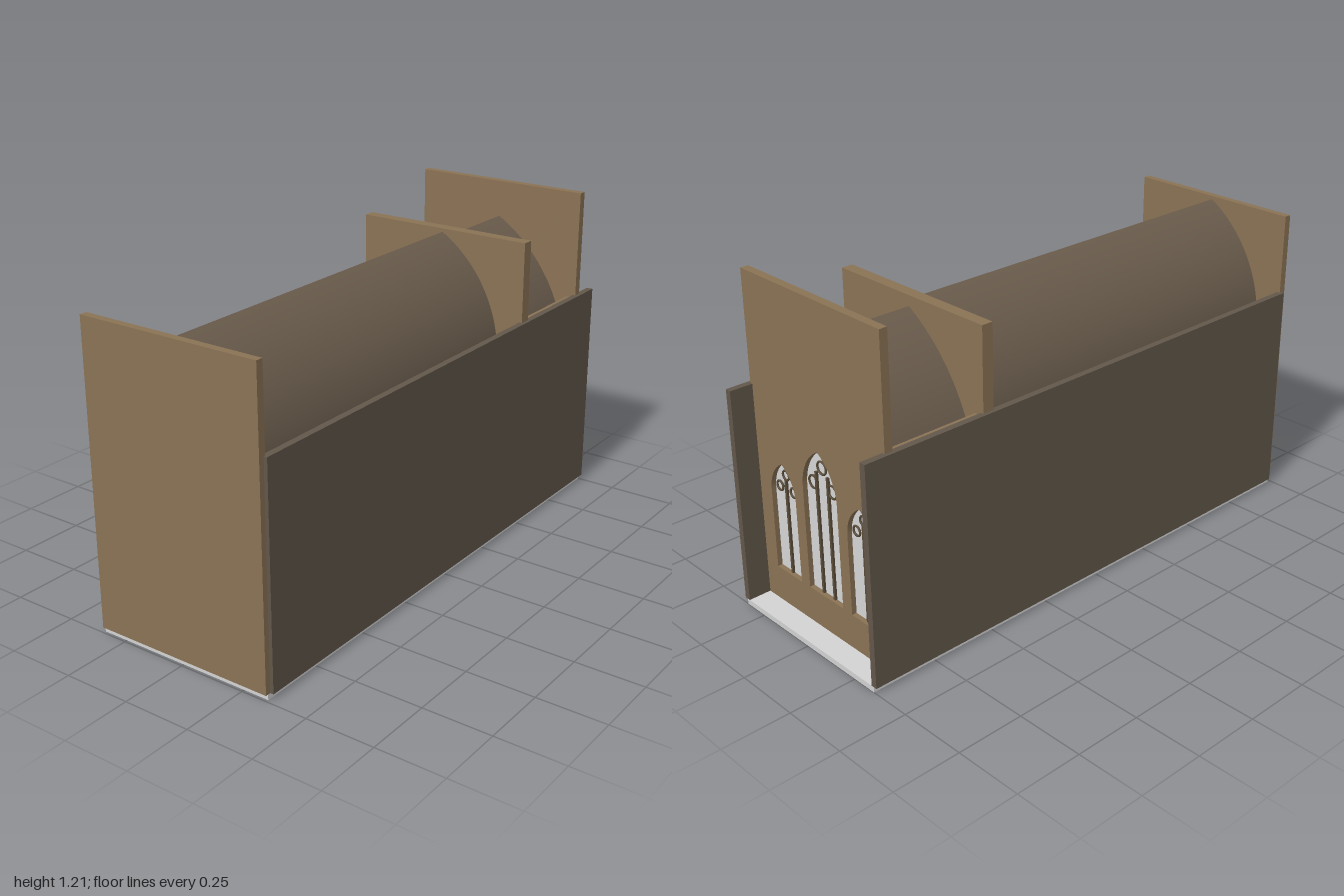
import * as THREE from 'three';

const mat = (name, color, side = THREE.FrontSide) => {
  const m = new THREE.MeshStandardMaterial({ color, side });
  m.name = name;
  return m;
};

// Equilateral pointed arch outline: hw = half width, y0 = sill, spring = where the curve starts
function pointedArch(Type, cx, hw, y0, spring) {
  const p = new Type();
  p.moveTo(cx - hw, y0);
  p.lineTo(cx + hw, y0);
  p.lineTo(cx + hw, spring);
  p.absarc(cx - hw, spring, 2 * hw, 0, Math.PI / 3, false);
  p.absarc(cx + hw, spring, 2 * hw, 2 * Math.PI / 3, Math.PI, false);
  p.closePath();
  return p;
}

// Upright slab pierced by arches, in the xy plane, depth along +z
function piercedSlab(x0, x1, y0, y1, depth, arches) {
  const s = new THREE.Shape();
  s.moveTo(x0, y0);
  s.lineTo(x1, y0);
  s.lineTo(x1, y1);
  s.lineTo(x0, y1);
  s.closePath();
  for (const a of arches) s.holes.push(pointedArch(THREE.Path, ...a));
  return new THREE.ExtrudeGeometry(s, { depth, bevelEnabled: false, curveSegments: 16 });
}

export function createModel() {
  const model = new THREE.Group();
  model.name = 'vaultedChurch';
  const tan = mat('tanStone', 0x8b7355);
  const dark = mat('darkStone', 0x62574a);
  const vaultMat = mat('vaultStone', 0x6b5d4d, THREE.DoubleSide);
  const pale = mat('paleFloor', 0xd3d3d3);
  const glass = mat('paleGlass', 0xd6d6d6, THREE.DoubleSide);
  const tracery = mat('traceryStone', 0x5a4c3a);

  const add = (name, geo, material, x = 0, y = 0, z = 0, parent = model) => {
    const m = new THREE.Mesh(geo, material);
    m.name = name;
    m.position.set(x, y, z);
    parent.add(m);
    return m;
  };
  // Box given by its limits
  const box = (name, material, x0, x1, y0, y1, z0, z1, parent = model) =>
    add(name, new THREE.BoxGeometry(x1 - x0, y1 - y0, z1 - z0), material,
      (x0 + x1) / 2, (y0 + y1) / 2, (z0 + z1) / 2, parent);

  // Floor and front wall
  box('floor', pale, -0.347, 0.347, 0, 0.02, -1, 0.99);
  box('frontWall', tan, -0.347, 0.347, 0.02, 1.107, 0.973, 1);

  // Pointed barrel vaults, each from two cylinder arcs meeting at a ridge
  function vault(name, hw, spring, z0, z1) {
    const g = new THREE.Group();
    g.name = name;
    for (const start of [Math.PI / 2, Math.PI * 7 / 6]) {
      const right = start < 2;
      const geo = new THREE.CylinderGeometry(2 * hw, 2 * hw, z1 - z0, 24, 1, true, start, Math.PI / 3);
      geo.rotateX(Math.PI / 2);
      add(name + 'Half', geo, vaultMat, right ? -hw : hw, spring, (z0 + z1) / 2, g);
    }
    model.add(g);
  }
  vault('naveVault', 0.248, 0.665, -0.48, 0.973);
  vault('choirVault', 0.31, 0.533, -0.887, -0.525);

  // Dividing wall with its arch
  add('chancelArchWall', piercedSlab(-0.347, 0.347, 0.01, 1.107, 0.043, [[0, 0.2, 0.015, 0.5]]),
    tan, 0, 0, -0.524);

  // Both sides: outer wall, choir wall, arcade and piers
  const piers = [-0.157, 0.051, 0.259, 0.467, 0.675];
  const stops = [-0.47, ...piers, 0.96];
  const bays = stops.slice(1).map((z, i) => {
    const hw = Math.min((z - stops[i]) / 2 - 0.025, 0.11);
    return [(z + stops[i]) / 2, hw, 0.015, 0.38];
  });
  const arcadeGeo = piercedSlab(-0.482, 0.974, 0.01, 0.67, 0.02, bays);
  arcadeGeo.rotateY(-Math.PI / 2);
  for (const s of [-1, 1]) {
    const span = (a, b) => (s > 0 ? [a, b] : [-b, -a]);
    box('outerWall', dark, ...span(0.336, 0.36), 0.02, 0.81, -1, 0.98);
    box('choirWall', tan, ...span(0.309, 0.336), 0.02, 0.8, -0.887, -0.523);
    add('arcade', arcadeGeo, tan, s > 0 ? 0.252 : -0.232, 0, 0);
    for (const z of piers) {
      box('pier', tan, ...span(0.215, 0.257), 0.02, 0.4, z - 0.025, z + 0.025);
      box('pierCapital', tan, ...span(0.205, 0.264), 0.38, 0.42, z - 0.037, z + 0.037);
    }
    box('endPier', tan, ...span(0.215, 0.257), 0.02, 0.42, -0.482, -0.46);
  }

  // Back wall with three lancet windows: [centre, half width, sill, spring, mullion offsets]
  const windows = [
    [0, 0.09, 0.15, 0.53, [-0.03, 0.03]],
    [-0.205, 0.068, 0.148, 0.447, [0]],
    [0.205, 0.068, 0.148, 0.447, [0]],
  ];
  add('backWall', piercedSlab(-0.347, 0.347, 0.02, 1.207, 0.03, windows.map((w) => w.slice(0, 4))),
    tan, 0, 0, -0.915);
  for (const [cx, hw, sill, spring, mullions] of windows) {
    const g = new THREE.Group();
    g.name = 'backWindow';
    model.add(g);
    add('glassPane', new THREE.ShapeGeometry(pointedArch(THREE.Shape, cx, hw, sill, spring), 16),
      glass, 0, 0, -0.897, g);
    for (const m of mullions) {
      box('mullion', tracery, cx + m - 0.005, cx + m + 0.005, sill, spring + hw * 0.8, -0.905, -0.89, g);
    }
    // Tracery rings in the arch head
    const r = hw * 0.25;
    const ringGeo = new THREE.TorusGeometry(r, 0.004, 6, 20);
    for (const [dx, dy] of [[-0.55, 0.3], [0.55, 0.3], [0, 1.05]]) {
      add('traceryRing', ringGeo, tracery, cx + dx * hw, spring + dy * hw, -0.9, g);
    }
  }
  return model;
}
